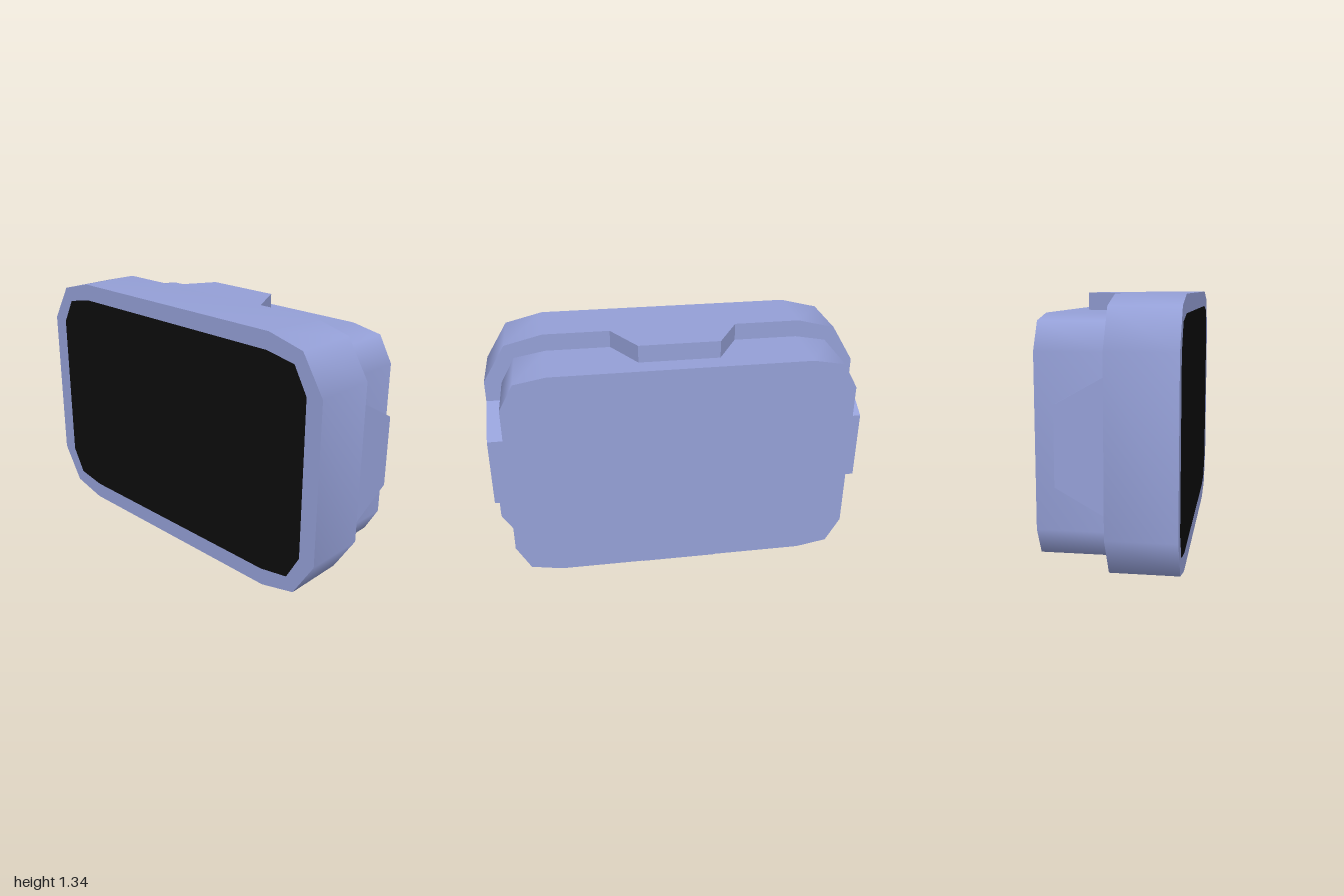
import * as THREE from 'three';

const MID = 0.67, FRONT = 0.335, BACK = -0.335;

// Mirror three corner points into a closed 12-point outline (counter-clockwise)
function outline(corner) {
  const rev = [...corner].reverse();
  return [
    ...rev.map(([x, y]) => [x, y]),
    ...corner.map(([x, y]) => [-x, y]),
    ...rev.map(([x, y]) => [-x, -y]),
    ...corner.map(([x, y]) => [x, -y]),
  ].map(([x, y]) => new THREE.Vector2(x, y + MID));
}

// Smooth side wall following an outline between two depths
function wall(points, z0, z1) {
  const pos = [], index = [], n = points.length;
  points.forEach((p, i) => {
    pos.push(p.x, p.y, z0, p.x, p.y, z1);
    const a = 2 * i, b = 2 * ((i + 1) % n);
    index.push(a, b, b + 1, a, b + 1, a + 1);
  });
  const g = new THREE.BufferGeometry();
  g.setAttribute('position', new THREE.Float32BufferAttribute(pos, 3));
  g.setIndex(index);
  g.computeVertexNormals();
  return g;
}

export function createModel() {
  const model = new THREE.Group();
  const casing = new THREE.MeshStandardMaterial({ color: 0x949fd6 });
  casing.name = 'periwinkle casing';
  const black = new THREE.MeshStandardMaterial({ color: 0x0c0c0c });
  black.name = 'black screen';

  const add = (name, geometry, material = casing) => {
    const m = new THREE.Mesh(geometry, material);
    m.name = name;
    model.add(m);
    return m;
  };

  const outer = outline([[0.68, 0.67], [0.88, 0.62], [1, 0.425]]);
  const inner = outline([[0.67, 0.58], [0.835, 0.55], [0.91, 0.415]]);

  // Front frame
  const ring = new THREE.Shape(outer);
  ring.holes.push(new THREE.Path(inner));
  add('frameWall', wall(outer, 0, FRONT));
  add('frameFront', new THREE.ShapeGeometry(ring).translate(0, 0, FRONT));
  add('frameBack', new THREE.ShapeGeometry(ring).rotateY(Math.PI));

  // Screen, flush with the frame
  add('screen', new THREE.ShapeGeometry(new THREE.Shape(inner)).translate(0, 0, FRONT), black);

  // Narrower rear housing
  add('housingWall', wall(inner, BACK, 0));
  add('housingBack', new THREE.ShapeGeometry(new THREE.Shape(inner)).rotateY(Math.PI).translate(0, 0, BACK));

  // Tapered tabs reaching back from the middle of each frame side
  const tab = (base, end) => new THREE.ExtrudeGeometry(new THREE.Shape([
    new THREE.Vector2(-base, 0), new THREE.Vector2(base, 0),
    new THREE.Vector2(end, 0.224), new THREE.Vector2(-end, 0.224),
  ]), { depth: 0.09, bevelEnabled: false }).rotateX(-Math.PI / 2);

  const long = tab(0.333, 0.21), short = tab(0.313, 0.187);
  [['topTab', long, 0, 0.58], ['leftTab', short, -Math.PI / 2, 0.91],
    ['bottomTab', long, Math.PI, 0.58], ['rightTab', short, Math.PI / 2, 0.91]]
    .forEach(([name, geo, angle, reach]) => {
      add(name, geo.clone().translate(0, reach, 0).rotateZ(angle).translate(0, MID, 0));
    });

  return model;
}
